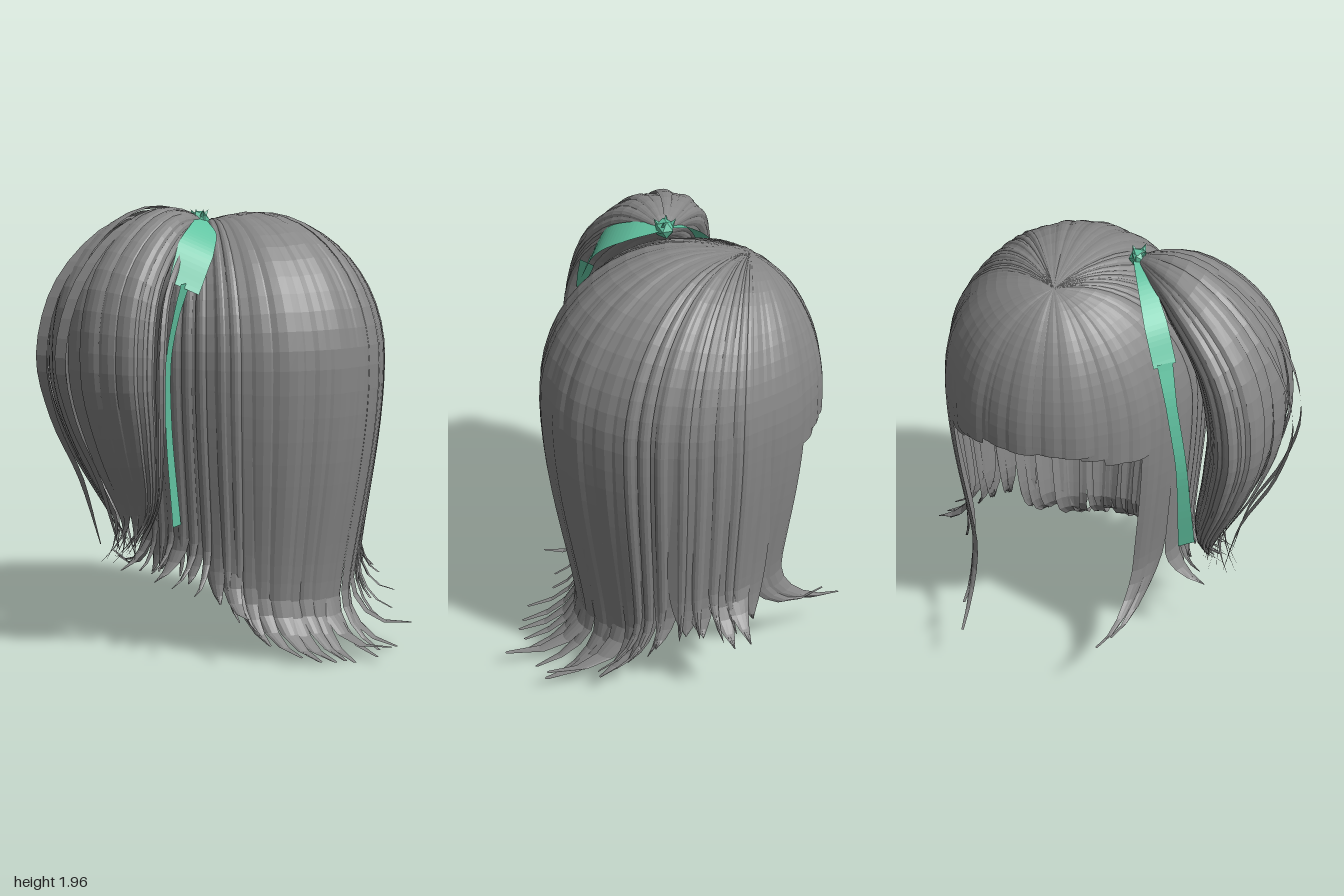
import * as THREE from 'three';

const { sin, cos, PI, abs, sqrt, hypot, pow, max, min, sign } = Math;
const DEG = PI / 180;
const clamp01 = v => min(1, max(0, v));
const smooth = (a, b, v) => { const t = clamp01((v - a) / (b - a)); return t * t * (3 - 2 * t); };
const mix = (a, b, t) => a + (b - a) * t;

// small seeded random
let seed = 7;
const rnd = () => (seed = (seed * 16807) % 2147483647) / 2147483647;

// grid surface from fn(u, v) -> [x, y, z], with u and v in 0..1
function sheet(nu, nv, fn) {
  const pos = [], idx = [];
  for (let j = 0; j <= nv; j++)
    for (let i = 0; i <= nu; i++) pos.push(...fn(i / nu, j / nv));
  for (let j = 0; j < nv; j++)
    for (let i = 0; i < nu; i++) {
      const a = j * (nu + 1) + i, b = a + 1, c = a + nu + 1, d = c + 1;
      idx.push(a, c, b, b, c, d);
    }
  const g = new THREE.BufferGeometry();
  g.setAttribute('position', new THREE.Float32BufferAttribute(pos, 3));
  g.setIndex(idx);
  g.computeVertexNormals();
  return g;
}

// head hull: centre, radii and the off-centre crown where all locks meet
const C = { x: 0.16, y: 1.3, z: -0.11 }, R = { x: 0.555, y: 0.65, z: 0.605 };
const CROWN = { x: -0.035, z: -0.52 };

// point on a lock: a = angle (0 = back of the head, +z), s = 0 crown .. 1 tip
function lockPoint(a, s, off, L) {
  if (s < 0.5) {
    const k = sin(s * PI);
    const x = mix(CROWN.x, sin(a), k), z = mix(CROWN.z, cos(a), k);
    const r = min(1, hypot(x, z)), o = 1 + off * k;
    const fullness = 2 + 0.6 * smooth(0.1, 0.6, -z);
    return [C.x + x * R.x * o, C.y + sqrt(1 - pow(r, fullness)) * R.y * o, C.z + z * R.z * o];
  }
  const q = (s - 0.5) * 2, curl = pow(clamp01((q - L.bend) / (1 - L.bend)), 2);
  const m = 1 + off - L.dip * smooth(0, 0.85, q);
  const y = C.y - (C.y - L.end) * (1 - pow(1 - q, 1.25)) + L.lift * pow(clamp01((q - 0.85) / 0.15), 2);
  return [
    C.x + sin(a) * R.x * m + sign(sin(a)) * L.out * curl,
    max(0.004, y),
    C.z + cos(a) * R.z * m + L.back * curl
  ];
}

function lockGeometry(a, half, L) {
  return sheet(4, 30, (u, v) => {
    const t = u * 2 - 1, q = max(0, (v - 0.5) * 2);
    const w = half * mix(1, L.tip, pow(clamp01((q - 0.6) / 0.4), 2));
    return lockPoint(a + t * w, v, L.off + 0.018 * (1 - t * t), L);
  });
}

// length and shape of a lock by its place around the head
function lockStyle(a) {
  const d = abs(a) / DEG, L = { dip: 0, out: 0, back: 0, lift: 0, bend: 0.72, tip: 0.05, off: 0 };
  if (d > 129) return { ...L, end: 1.18 + 0.07 * smooth(130, 165, d) + 0.015 * rnd(), tip: 0.9 };
  if (d > 113) return { ...L, end: 0.24 + 0.02 * rnd(), dip: 0.16, out: -0.08, back: -0.26 - 0.13 * rnd(), lift: 0.1 * rnd(), bend: 0.62 };
  const side = smooth(32, 80, d), r = rnd();
  return {
    ...L,
    end: mix(0, 0.36, side) + 0.03 * rnd(),
    dip: mix(0.24, 0.09, side),
    out: mix(0.01, 0.01 + 0.17 * r * r, side),
    back: (0.16 + 0.26 * r) * (1 - side),
    lift: 0.13 * r * r * (1 - side),
    tip: mix(0.16, 0.03, side)
  };
}

// flat band along a curve, widened along a fixed direction
function band(points, dir, widths) {
  const curve = new THREE.CatmullRomCurve3(points.map(p => new THREE.Vector3(...p)));
  const d = new THREE.Vector3(...dir).normalize();
  return sheet(2, 24, (u, v) => {
    const f = v * (widths.length - 1), i = min(widths.length - 2, Math.floor(f));
    const w = mix(widths[i], widths[i + 1], f - i);
    return curve.getPoint(v).addScaledVector(d, (u - 0.5) * w).toArray();
  });
}

export function createModel() {
  seed = 7;
  const hair = new THREE.MeshStandardMaterial({ color: 0x868686, flatShading: true, side: THREE.DoubleSide });
  hair.name = 'hair grey';
  const green = new THREE.MeshStandardMaterial({ color: 0x62c4a2, flatShading: true, side: THREE.DoubleSide });
  green.name = 'ribbon green';

  const model = new THREE.Group();
  model.name = 'hairstyle';
  const group = name => { const g = new THREE.Group(); g.name = name; model.add(g); return g; };
  const add = (parent, name, geo, mat) => {
    const m = new THREE.Mesh(geo, mat);
    m.name = name;
    parent.add(m);
    return m;
  };

  // inner cap, a deep bowl cut away at the face
  add(model, 'scalp', sheet(40, 18, (u, v) => {
    const a = (u * 2 - 1) * PI;
    const th = v * mix(2.65, 1.5, smooth(40, 138, abs(a) / DEG));
    return [C.x + sin(a) * sin(th) * R.x * 0.95, C.y + cos(th) * R.y * 0.95, C.z + cos(a) * sin(th) * R.z * 0.95];
  }), hair);

  // main locks all around the head, of uneven width
  const locks = group('headHair'), N = 42, step = 2 * PI / N;
  for (let i = 0; i < N; i++) {
    const a = -PI + (i + 0.5 + (rnd() - 0.5) * 0.4) * step, d = abs(a) / DEG;
    const L = lockStyle(a);
    L.off = (i % 3) * 0.007;
    const name = d > 129 ? 'bangLock' : d > 113 ? 'frontLock' : d > 60 ? 'sideLock' : 'backLock';
    add(locks, name, lockGeometry(a, step * (0.68 + 0.35 * rnd()), L), hair);
  }

  // thin loose locks over both sides
  for (const sgn of [-1, 1])
    for (let i = 0; i < 8; i++) {
      const a = sgn * (48 + i * 7 + rnd() * 4) * DEG;
      const L = lockStyle(a);
      L.off = 0.024;
      add(locks, 'looseLock', lockGeometry(a, step * 0.3, L), hair);
    }

  // side ponytail: locks around a bent teardrop that fans out from the knot
  const tail = group('ponytail'), M = 20;
  const axis = new THREE.CatmullRomCurve3([
    [-0.13, 1.92, -0.14], [-0.35, 1.86, -0.18], [-0.57, 1.63, -0.19], [-0.64, 1.3, -0.18],
    [-0.59, 1.0, -0.18], [-0.5, 0.7, -0.18], [-0.46, 0.46, -0.18]
  ].map(p => new THREE.Vector3(...p)));
  for (let i = 0; i < M; i++) {
    const b = (i + rnd() * 0.3) / M * 2 * PI, half = PI / M * (1.1 + 0.4 * rnd());
    const grow = 0.9 + 0.15 * rnd(), fx = -0.16 * rnd(), fz = (rnd() - 0.5) * 0.16, fy = (rnd() - 0.5) * 0.05;
    add(tail, 'ponytailLock', sheet(4, 28, (u, v) => {
      const t = u * 2 - 1, p = axis.getPoint(v), tan = axis.getTangent(v);
      const w = half * mix(1, 0.1, pow(clamp01((v - 0.75) / 0.25), 2));
      const g = grow * (1 + 0.06 * (1 - t * t));
      const rn = (0.015 + 0.15 * g * sin(PI * pow(v, 0.75))) * cos(b + t * w);
      const rz = (0.02 + 0.33 * g * sin(PI * pow(v, 0.95))) * sin(b + t * w);
      const f = pow(clamp01((v - 0.85) / 0.15), 2);
      return [p.x + tan.y * rn + fx * f, p.y - tan.x * rn + fy * f, p.z + rz + fz * f];
    }), hair);
  }

  // stray strands outside the ponytail
  for (const z of [-0.18, -0.32])
    add(tail, 'strayStrand', band([
      [-0.13, 1.94, -0.14], [-0.48, 1.93, mix(-0.14, z, 0.6)], [-0.75, 1.68, z], [-0.86, 1.36, z],
      [-0.8, 1.08, z], [-0.66, 0.8, z], [-0.58, 0.5, z + 0.03]
    ], [0.3, 0, 1], [0.02, 0.05, 0.06, 0.06, 0.04, 0.03, 0.005]), hair);

  // ribbon tails on both sides of the ponytail: a broad fold at the knot, then a narrow strip
  const bow = group('ribbon');
  add(bow, 'ribbonFold', band([
    [-0.13, 1.93, -0.12], [-0.22, 1.89, 0], [-0.33, 1.81, 0.08], [-0.43, 1.65, 0.12]
  ], [0.6, -0.35, 0.5], [0.05, 0.12, 0.16, 0.14]), green);
  add(bow, 'ribbonStrip', band([
    [-0.42, 1.67, 0.12], [-0.48, 1.53, 0.13], [-0.505, 1.35, 0.11], [-0.475, 1.05, 0.07], [-0.41, 0.61, 0.04]
  ], [0.85, 0, -0.4], [0.09, 0.06, 0.05, 0.06, 0.08]), green);
  add(bow, 'ribbonFold', band([
    [-0.13, 1.93, -0.16], [-0.2, 1.88, -0.27], [-0.28, 1.77, -0.38], [-0.34, 1.62, -0.44]
  ], [-0.7, 0.1, 0.6], [0.04, 0.07, 0.1, 0.1]), green);
  add(bow, 'ribbonStrip', band([
    [-0.34, 1.63, -0.44], [-0.38, 1.45, -0.47], [-0.42, 1.15, -0.45], [-0.42, 0.9, -0.39], [-0.41, 0.61, -0.3]
  ], [-0.75, 0, 0.65], [0.07, 0.05, 0.05, 0.06, 0.08]), green);

  // knot with small points
  const knot = add(bow, 'knot', new THREE.IcosahedronGeometry(0.045, 0), green);
  knot.position.set(-0.13, 1.925, -0.14);
  for (let i = 0; i < 4; i++) {
    const a = i * PI / 2 + 0.4;
    const p = add(bow, 'knotPoint', new THREE.ConeGeometry(0.02, 0.05, 4), green);
    p.position.set(-0.13 + 0.025 * cos(a), 1.95, -0.14 + 0.035 * sin(a));
    p.rotation.set(sin(a) * 0.6, 0, -cos(a) * 0.6);
  }
  return model;
}
